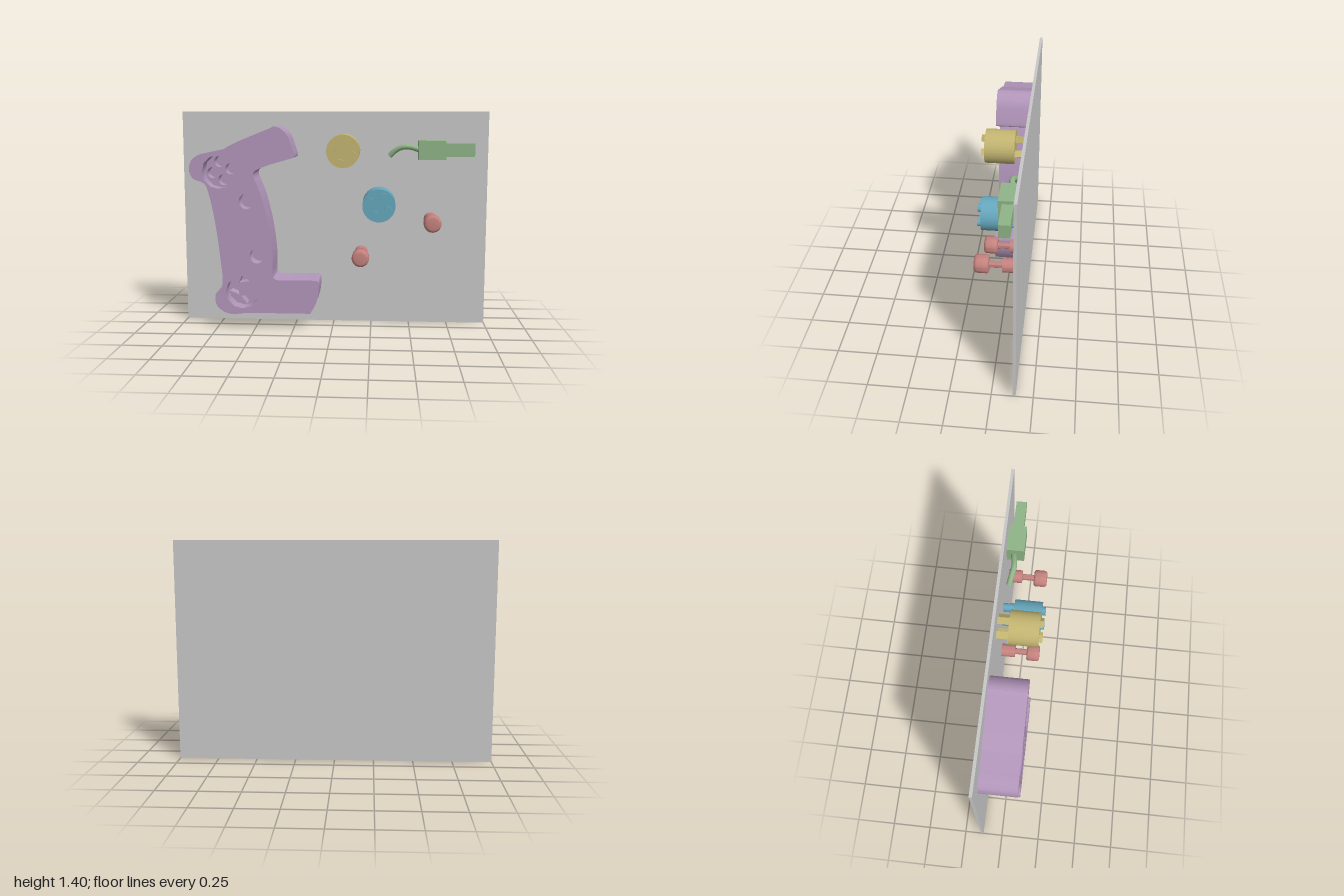
import * as THREE from 'three';
import { toCreasedNormals } from 'three/addons/utils/BufferGeometryUtils.js';

const mat = (name, color) => {
  const m = new THREE.MeshStandardMaterial({ color });
  m.name = name;
  return m;
};

const BACK = -0.127; // front surface of the board

// Outline of the handle frame: smooth runs joined by straight edges
const OUTLINE = [
  [[-0.687, 1.163], [-0.607, 1.206], [-0.4, 1.291], [-0.372, 1.305], [-0.33, 1.297], [-0.286, 1.26], [-0.26, 1.2], [-0.238, 1.126], [-0.243, 1.11]],
  [[-0.393, 1.067], [-0.463, 1.04], [-0.495, 1.019], [-0.497, 0.987], [-0.479, 0.944], [-0.441, 0.837], [-0.404, 0.676], [-0.382, 0.495], [-0.382, 0.361], [-0.372, 0.332], [-0.345, 0.323]],
  [[-0.1, 0.323], [-0.085, 0.302], [-0.088, 0.23], [-0.104, 0.17], [-0.136, 0.112], [-0.147, 0.104]],
  [[-0.463, 0.104], [-0.56, 0.102], [-0.644, 0.094], [-0.703, 0.11], [-0.746, 0.147], [-0.759, 0.195], [-0.751, 0.233], [-0.725, 0.254], [-0.709, 0.302], [-0.709, 0.361]],
  [[-0.73, 0.559], [-0.757, 0.746], [-0.794, 0.906], [-0.821, 0.949], [-0.864, 0.965], [-0.89, 0.981], [-0.909, 1.029], [-0.896, 1.088], [-0.848, 1.126], [-0.783, 1.142], [-0.687, 1.163]],
];

function frameShape(holes) {
  const s = new THREE.Shape();
  OUTLINE.forEach((run, i) => {
    const pts = run.map(([x, y]) => new THREE.Vector2(x, y));
    if (i === 0) s.moveTo(pts[0].x, pts[0].y);
    else s.lineTo(pts[0].x, pts[0].y);
    s.splineThru(pts.slice(1));
  });
  s.holes = holes;
  return s;
}

const circle = (x, y, r) => new THREE.Shape().absarc(x, y, r, 0, Math.PI * 2, false);

// Triangle pointing away from (x, y) at angle a
function triangle(x, y, a, inner, outer, half) {
  const c = Math.cos(a), s = Math.sin(a);
  return new THREE.Shape([[inner, -half], [outer, 0], [inner, half]].map(
    ([u, v]) => new THREE.Vector2(x + u * c - v * s, y + u * s + v * c)));
}

// Four shapes spaced evenly around a centre
const ring = (deg, make) => [0, 1, 2, 3].map((i) => make(THREE.MathUtils.degToRad(deg + i * 90)));
const roundPins = (x, y, deg, dist, r) =>
  ring(deg, (a) => circle(x + dist * Math.cos(a), y + dist * Math.sin(a), r));
const trianglePins = (x, y, deg, inner, outer, half) =>
  ring(deg, (a) => triangle(x, y, a, inner, outer, half));

// Straight extrusion between two depths
function slab(shape, z0, z1, segments = 12) {
  const g = new THREE.ExtrudeGeometry(shape, { depth: z1 - z0, bevelEnabled: false, curveSegments: segments });
  g.translate(0, 0, z0);
  return toCreasedNormals(g, 0.6);
}

export function createModel() {
  const root = new THREE.Group();
  const grey = mat('board grey', 0xc8c8c8);
  const purple = mat('frame lavender', 0xb296bb);
  const yellow = mat('knob yellow', 0xc3b571);
  const blue = mat('knob blue', 0x66a7bd);
  const red = mat('bolt red', 0xc4827e);
  const green = mat('plug green', 0x90b487);

  const add = (parent, name, geometry, material) => {
    const m = new THREE.Mesh(geometry, material);
    m.name = name;
    parent.add(m);
    return m;
  };
  const group = (name) => {
    const g = new THREE.Group();
    g.name = name;
    root.add(g);
    return g;
  };

  // Backing board
  add(root, 'board', new THREE.BoxGeometry(2, 1.4, 0.018), grey).position.set(0, 0.7, BACK - 0.009);

  // Handle frame: solid back, pin sockets, then wide sockets and bolt holes
  const frame = group('handleFrame');
  const upper = [-0.72, 1.02], lower = [-0.58, 0.241];
  const pinSockets = [
    ...roundPins(...upper, 12, 0.06, 0.036),
    ...trianglePins(...lower, 8, 0.045, 0.104, 0.034),
  ];
  const wideSockets = [
    circle(...upper, 0.108), circle(...lower, 0.108),
    circle(-0.545, 0.832, 0.05), circle(-0.48, 0.48, 0.05),
  ];
  add(frame, 'frameBack', slab(frameShape([]), BACK, -0.08, 6), purple);
  add(frame, 'framePinSockets', slab(frameShape(pinSockets), -0.08, 0, 6), purple);
  add(frame, 'frameFront', slab(frameShape(wideSockets), 0, 0.1, 6), purple);

  // Knobs: a drum with pins on both faces
  const knob = (name, x, y, pins, material) => {
    const g = group(name);
    add(g, 'drum', slab(circle(x, y, 0.104), -0.055, 0.125, 48), material);
    for (const p of pins) {
      add(g, 'frontPin', slab(p, 0.125, 0.147, 24), material);
      add(g, 'backPin', slab(p, BACK, -0.055, 24), material);
    }
  };
  knob('triangleKnob', 0.07, 1.153, trianglePins(0.07, 1.153, -12, 0.052, 0.09, 0.022), yellow);
  knob('roundKnob', 0.297, 0.813, roundPins(0.297, 0.813, -25, 0.064, 0.025), blue);

  // Bolts: foot, thin neck and rounded head turned about z
  const profile = [
    [0, BACK], [0.043, BACK], [0.043, -0.035], [0.02, -0.035], [0.02, 0.045], [0.044, 0.045],
    [0.052, 0.049], [0.055, 0.056], [0.055, 0.112], [0.052, 0.124], [0.045, 0.13], [0.035, 0.132], [0, 0.132],
  ].map(([r, z]) => new THREE.Vector2(r, z));
  const boltGeometry = toCreasedNormals(new THREE.LatheGeometry(profile, 40).rotateX(Math.PI / 2), 0.9);
  for (const [x, y] of [[0.635, 0.7], [0.182, 0.474]])
    add(root, 'bolt', boltGeometry, red).position.set(x, y, 0);

  // Plug with a curved cable
  const plug = group('plug');
  add(plug, 'plugBody', new THREE.BoxGeometry(0.174, 0.122, 0.108), green).position.set(0.635, 1.154, -0.072);
  add(plug, 'plugTip', new THREE.BoxGeometry(0.184, 0.084, 0.064), green).position.set(0.814, 1.154, -0.071);
  const path = new THREE.CatmullRomCurve3([
    [0.365, 1.115, -0.092], [0.405, 1.153, -0.081], [0.455, 1.174, -0.071], [0.505, 1.17, -0.075], [0.56, 1.153, -0.084],
  ].map((p) => new THREE.Vector3(...p)));
  add(plug, 'cable', new THREE.TubeGeometry(path, 32, 0.017, 16, false), green);

  // Flat end of the cable
  const cap = add(plug, 'cableEnd', new THREE.CircleGeometry(0.017, 16), green);
  cap.position.copy(path.getPoint(0));
  cap.lookAt(cap.position.clone().sub(path.getTangent(0)));

  return root;
}
